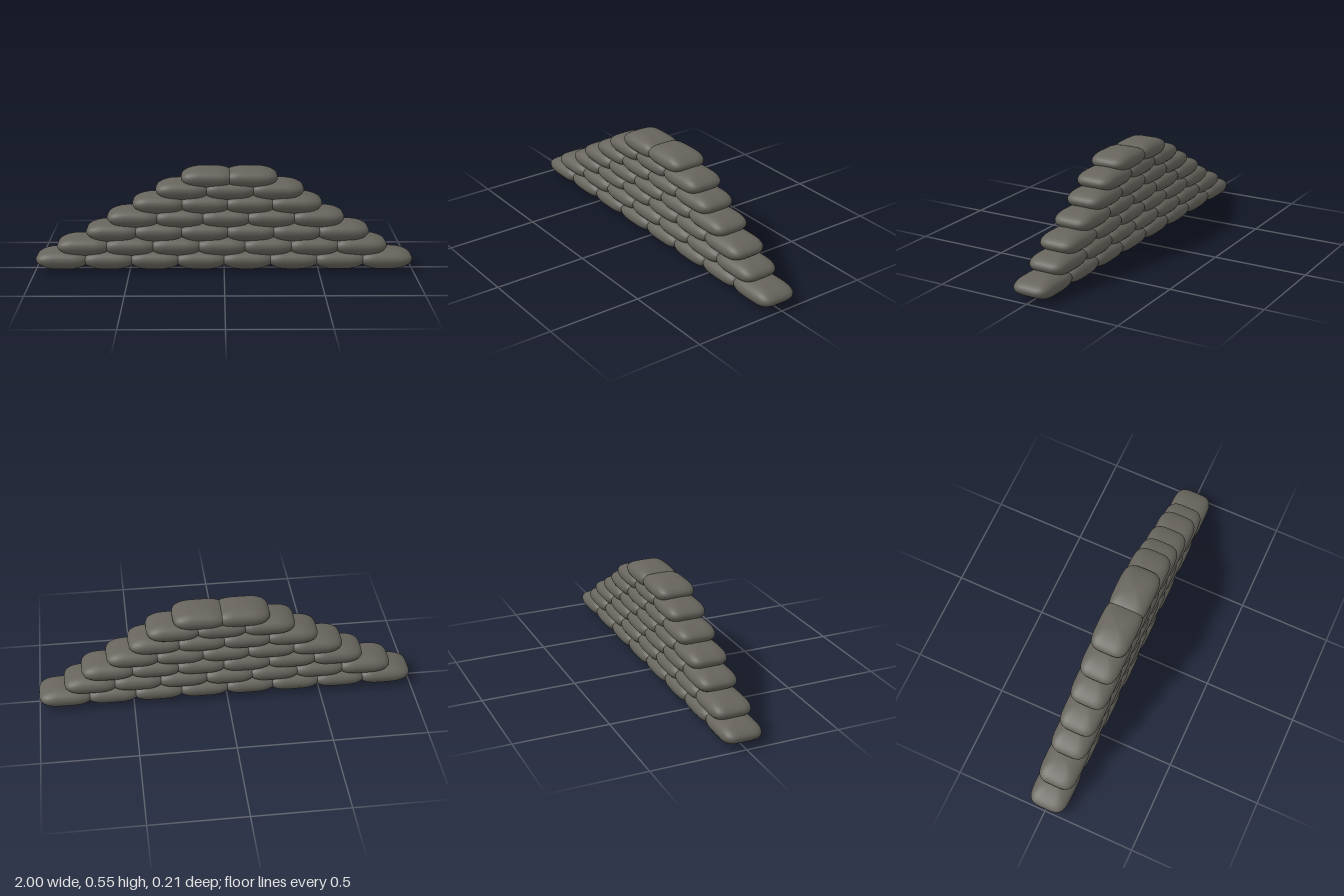
import * as THREE from 'three';
import { mergeVertices } from 'three/addons/utils/BufferGeometryUtils.js';

const LENGTH = 0.29, HEIGHT = 0.113, DEPTH = 0.21;

// Stuffed bag: rounded-rectangle plan, domed top and bottom, pinched ends
function bagGeometry() {
  const geo = new THREE.SphereGeometry(1, 40, 20);
  geo.deleteAttribute('uv');
  geo.deleteAttribute('normal');
  const pos = geo.attributes.position;
  const soften = (v) => Math.sign(v) * Math.sqrt(Math.abs(v));
  for (let i = 0; i < pos.count; i++) {
    const x = pos.getX(i), y = pos.getY(i), z = pos.getZ(i);
    const r = Math.hypot(x, z);
    if (r < 1e-6) {
      pos.setXYZ(i, 0, Math.sign(y) * HEIGHT / 2, 0);
      continue;
    }
    const c = x / r, s = z / r;
    const spread = Math.pow(r, 0.78 + 0.34 * c * c); // fuller sides, sharper ends
    pos.setXYZ(i,
      soften(c) * spread * LENGTH / 2,
      y * HEIGHT / 2 + 0.004 * r * r, // widest line sits slightly above the middle
      soften(s) * spread * DEPTH / 2);
  }
  const merged = mergeVertices(geo, 1e-5);
  merged.computeVertexNormals();
  return merged;
}

// Each row: number of bags, left end, right end, top height
const ROWS = [
  [8, -1, 1, 0.113],
  [7, -0.885, 0.863, 0.187],
  [6, -0.73, 0.767, 0.265],
  [5, -0.618, 0.634, 0.34],
  [4, -0.484, 0.516, 0.415],
  [3, -0.361, 0.42, 0.489],
  [2, -0.227, 0.281, 0.553],
];

export function createModel() {
  const model = new THREE.Group();
  model.name = 'sandbagWall';
  const geometry = bagGeometry();
  const material = new THREE.MeshStandardMaterial({ color: 0x66645c });

  // Stacked rows, each one bag shorter than the row beneath
  ROWS.forEach(([count, left, right, top], level) => {
    const row = new THREE.Group();
    row.name = `row${level + 1}`;
    const first = left + LENGTH / 2;
    const step = (right - left - LENGTH) / (count - 1);
    for (let i = 0; i < count; i++) {
      const bag = new THREE.Mesh(geometry, material);
      bag.name = 'sandbag';
      bag.position.set(first + i * step, top - HEIGHT / 2, 0);
      row.add(bag);
    }
    model.add(row);
  });
  return model;
}
